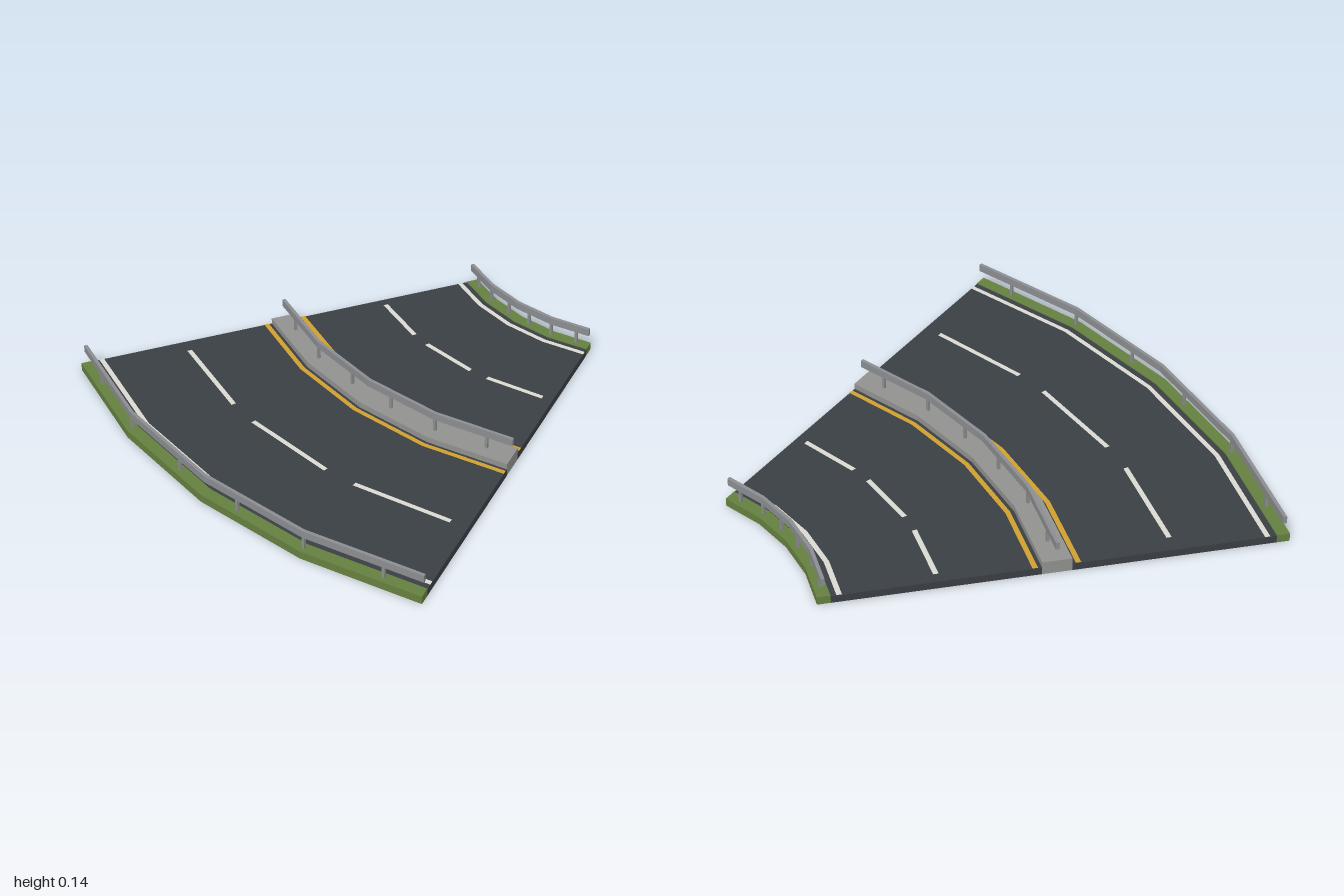
import * as THREE from 'three';

// Curve centre, sweep and radii of the 45 degree bend
const CX = 1.608, CZ = -0.922, SWEEP = Math.PI / 4;
const R_IN = 0.86, R_MID = 1.734, R_OUT = 2.608;
const KERB = 0.05, MEDIAN = 0.056, DECK = 0.031;

const at = (r, y, a) => [CX - r * Math.cos(a), y, CZ + r * Math.sin(a)];

// Sweep a section of [radius, height] points along the bend
function sweep(section, { a0 = 0, a1 = SWEEP, steps = 4, closed = false, caps = false, body = true } = {}) {
  const pos = [];
  const tri = (a, b, c) => pos.push(...a, ...b, ...c);
  const n = section.length;
  const edges = closed ? n : n - 1;
  if (body) for (let s = 0; s < steps; s++) {
    const u = a0 + (a1 - a0) * s / steps;
    const v = a0 + (a1 - a0) * (s + 1) / steps;
    for (let i = 0; i < edges; i++) {
      const p = section[i], q = section[(i + 1) % n];
      const A = at(...p, u), B = at(...q, u), C = at(...q, v), D = at(...p, v);
      tri(A, B, C);
      tri(A, C, D);
    }
  }
  if (caps) for (let i = 1; i < n - 1; i++) {
    const f = [section[0], section[i], section[i + 1]];
    tri(at(...f[0], a0), at(...f[2], a0), at(...f[1], a0));
    tri(at(...f[0], a1), at(...f[1], a1), at(...f[2], a1));
  }
  const g = new THREE.BufferGeometry();
  g.setAttribute('position', new THREE.Float32BufferAttribute(pos, 3));
  g.computeVertexNormals();
  return g;
}

// Inner foot, inner top, outer top, outer foot
const box = (r0, r1, y0, y1) => [[r0, y0], [r0, y1], [r1, y1], [r1, y0]];

export function createModel() {
  const model = new THREE.Group();
  model.name = 'curvedRoad';
  const mat = (name, color, open = true) => {
    const m = new THREE.MeshStandardMaterial({ color, side: open ? THREE.DoubleSide : THREE.FrontSide });
    m.name = name;
    return m;
  };
  const asphalt = mat('asphalt', 0x3a3f45);
  const grass = mat('grass', 0x65803f);
  const concrete = mat('concrete', 0x919290);
  const metal = mat('metal', 0x8b8d90, false);
  const white = mat('whitePaint', 0xdadad2);
  const yellow = mat('yellowPaint', 0xd0a030);

  const add = (name, geometry, material, parent = model) => {
    const mesh = new THREE.Mesh(geometry, material);
    mesh.name = name;
    parent.add(mesh);
    return mesh;
  };

  // Road deck, open underneath, with end walls on both carriageways
  add('roadDeck', sweep([[R_IN + 0.005, DECK], [R_OUT - 0.005, DECK]]), asphalt);
  for (const [name, r0, r1] of [
    ['innerCarriagewayEnds', R_IN + KERB, R_MID - MEDIAN],
    ['outerCarriagewayEnds', R_MID + MEDIAN, R_OUT - KERB],
  ]) add(name, sweep(box(r0, r1, 0, DECK), { caps: true, body: false }), asphalt);

  // Grass verges and raised median
  add('innerVerge', sweep(box(R_IN, R_IN + KERB, 0, 0.034), { caps: true }), grass);
  add('outerVerge', sweep(box(R_OUT - KERB, R_OUT, 0, 0.034), { caps: true }), grass);
  add('median', sweep(box(R_MID - MEDIAN, R_MID + MEDIAN, 0, 0.056), { caps: true }), concrete);

  // Painted lines
  const line = (name, r, material, options) =>
    add(name, sweep([[r - 0.01, DECK + 0.002], [r + 0.01, DECK + 0.002]], options), material);
  line('innerEdgeLine', R_IN + 0.081, white);
  line('outerEdgeLine', R_OUT - 0.085, white);
  line('innerMedianLine', R_MID - 0.081, yellow);
  line('outerMedianLine', R_MID + 0.079, yellow);

  // Straight lane dashes
  for (const side of [-1, 1]) for (let i = 0; i < 3; i++) {
    line('laneDash', R_MID + side * 0.436, white, {
      a0: SWEEP * (i + 0.12) / 3, a1: SWEEP * (i + 0.87) / 3, steps: 1,
    });
  }

  // Guard rails on six posts each
  for (const [name, r, foot, low] of [
    ['innerGuardRail', R_IN + 0.025, 0.034, 0.086],
    ['medianGuardRail', R_MID, 0.056, 0.108],
    ['outerGuardRail', R_OUT - 0.025, 0.034, 0.086],
  ]) {
    const rail = new THREE.Group();
    rail.name = name;
    model.add(rail);
    add('railBeam', sweep(box(r - 0.007, r + 0.007, low, low + 0.031), { closed: true, caps: true }), metal, rail);
    const h = low - foot + 0.01;
    for (let i = 0; i < 6; i++) {
      const a = SWEEP * (i + 0.5) / 6;
      // Posts follow the straight chords of the beam
      const seg = SWEEP / 4, mid = (Math.floor(a / seg) + 0.5) * seg;
      const chord = r * Math.cos(seg / 2) / Math.cos(a - mid);
      const post = add('railPost', new THREE.BoxGeometry(0.011, h, 0.011), metal, rail);
      post.position.set(...at(chord, foot + h / 2, a));
      post.rotation.y = a;
    }
  }
  return model;
}
